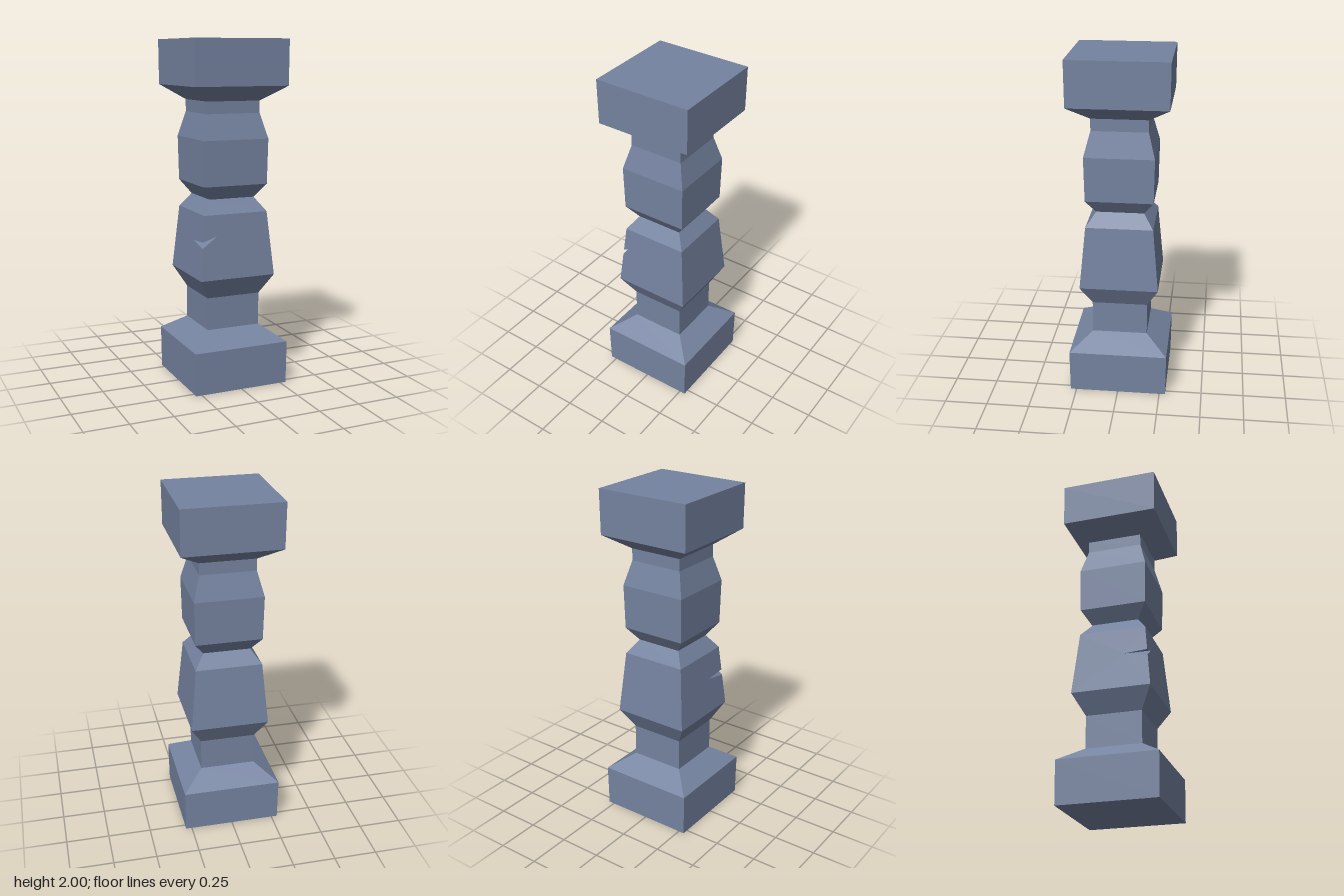
import * as THREE from 'three';

const stone = new THREE.MeshStandardMaterial({ color: 0x7583a0, flatShading: true });

function addMesh(group, name, geometry) {
  const mesh = new THREE.Mesh(geometry, stone);
  mesh.name = name;
  group.add(mesh);
}

// Square turned section from [halfWidth, y] pairs, bottom to top
function squareTurning(profile) {
  const points = profile.map(([half, y]) => new THREE.Vector2(half * Math.SQRT2, y));
  const geometry = new THREE.LatheGeometry(points, 4, Math.PI / 4).toNonIndexed();
  geometry.computeVertexNormals();
  return geometry;
}

// Tapered square block with a wedge chipped out of its front corner at -x
function chippedBlock(y0, half0, y1, half1) {
  const half = (y) => half0 + ((half1 - half0) * (y - y0)) / (y1 - y0);
  const corner = (sx, y, sz) => [sx * half(y), y, sz * half(y)];
  const [a0, b0, c0, d0] = [[-1, 1], [1, 1], [-1, -1], [1, -1]].map(([x, z]) => corner(x, y0, z));
  const [a1, b1, c1, d1] = [[-1, 1], [1, 1], [-1, -1], [1, -1]].map(([x, z]) => corner(x, y1, z));
  const upper = corner(-1, 0.87, 1);
  const lower = corner(-1, 0.835, 1);
  const frontTip = [-0.12, 0.9, half(0.9)];
  const sideTip = [-half(0.86), 0.86, 0.07];
  const triangles = [
    // front face around the chip
    [a0, b0, frontTip], [b0, b1, frontTip], [b1, a1, frontTip], [a1, upper, frontTip], [lower, a0, frontTip],
    // -x face around the chip
    [c0, a0, sideTip], [a0, lower, sideTip], [upper, a1, sideTip], [a1, c1, sideTip], [c1, c0, sideTip],
    // inside of the chip
    [lower, frontTip, sideTip], [upper, sideTip, frontTip],
    // +x face and back face
    [b0, d0, d1], [b0, d1, b1], [d0, c0, c1], [d0, c1, d1],
  ];
  const geometry = new THREE.BufferGeometry();
  geometry.setAttribute('position', new THREE.Float32BufferAttribute(triangles.flat(2), 3));
  geometry.computeVertexNormals();
  return geometry;
}

export function createModel() {
  const group = new THREE.Group();
  group.name = 'squarePillar';

  addMesh(group, 'base', squareTurning([[0, 0], [0.285, 0], [0.288, 0.25], [0.162, 0.34]]));
  addMesh(group, 'lowerNeck', squareTurning([[0.162, 0.34], [0.162, 0.53], [0.229, 0.65]]));
  addMesh(group, 'lowerShaft', chippedBlock(0.65, 0.229, 1.02, 0.195));
  addMesh(group, 'waist', squareTurning([[0.195, 1.02], [0.138, 1.1], [0.195, 1.18]]));
  addMesh(group, 'upperShaft', squareTurning([[0.195, 1.18], [0.2, 1.44], [0.162, 1.585]]));
  addMesh(group, 'upperNeck', squareTurning([[0.162, 1.585], [0.162, 1.655]]));
  addMesh(group, 'capital', squareTurning([[0.162, 1.655], [0.283, 1.74], [0.285, 2], [0, 2]]));

  return group;
}
